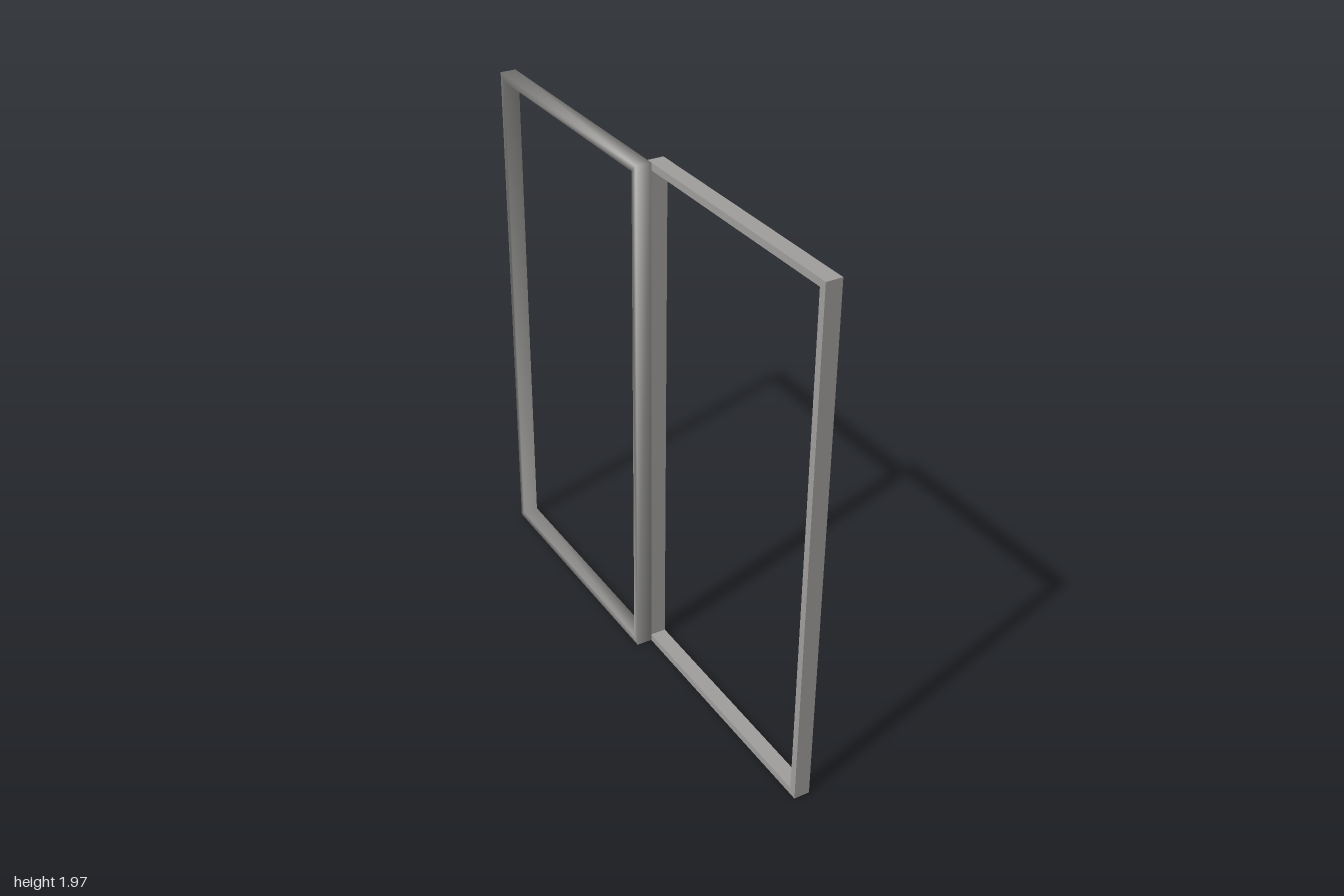
import * as THREE from 'three';
import { mergeVertices } from 'three/addons/utils/BufferGeometryUtils.js';

const HEIGHT = 1.97, BAR = 0.027, DEPTH = 0.06, OVERLAP = BAR / 2;

// Rectangular outline in the z-y plane
function rect(target, z0, y0, z1, y1) {
  target.moveTo(z0, y0);
  target.lineTo(z1, y0);
  target.lineTo(z1, y1);
  target.lineTo(z0, y1);
  target.closePath();
  return target;
}

// Open sash frame spanning z0..z1, with its outer face at x = xMax
function sashGeometry(z0, z1, xMax) {
  const shape = rect(new THREE.Shape(), z0, 0, z1, HEIGHT);
  shape.holes.push(rect(new THREE.Path(), z0 + BAR, BAR, z1 - BAR, HEIGHT - BAR));
  const geometry = new THREE.ExtrudeGeometry(shape, { depth: DEPTH, bevelEnabled: false });
  geometry.rotateY(-Math.PI / 2); // shape x -> z, extrusion -> -x
  geometry.translate(xMax, 0, 0);
  return geometry;
}

// Shares corner vertices so the shading blends across the edges
function smooth(geometry) {
  geometry.deleteAttribute('normal');
  geometry.deleteAttribute('uv');
  const merged = mergeVertices(geometry);
  merged.computeVertexNormals();
  return merged;
}

export function createModel() {
  const group = new THREE.Group();
  group.name = 'slidingWindowFrame';
  const material = new THREE.MeshStandardMaterial({ color: 0xa09f9d });

  // Two sashes side by side, their meeting stiles overlapping at the centre
  const frontSash = new THREE.Mesh(sashGeometry(-OVERLAP, 1, DEPTH), material);
  frontSash.name = 'frontSash';
  const backSash = new THREE.Mesh(smooth(sashGeometry(-1, OVERLAP, 0)), material);
  backSash.name = 'backSash';
  group.add(frontSash, backSash);
  return group;
}
